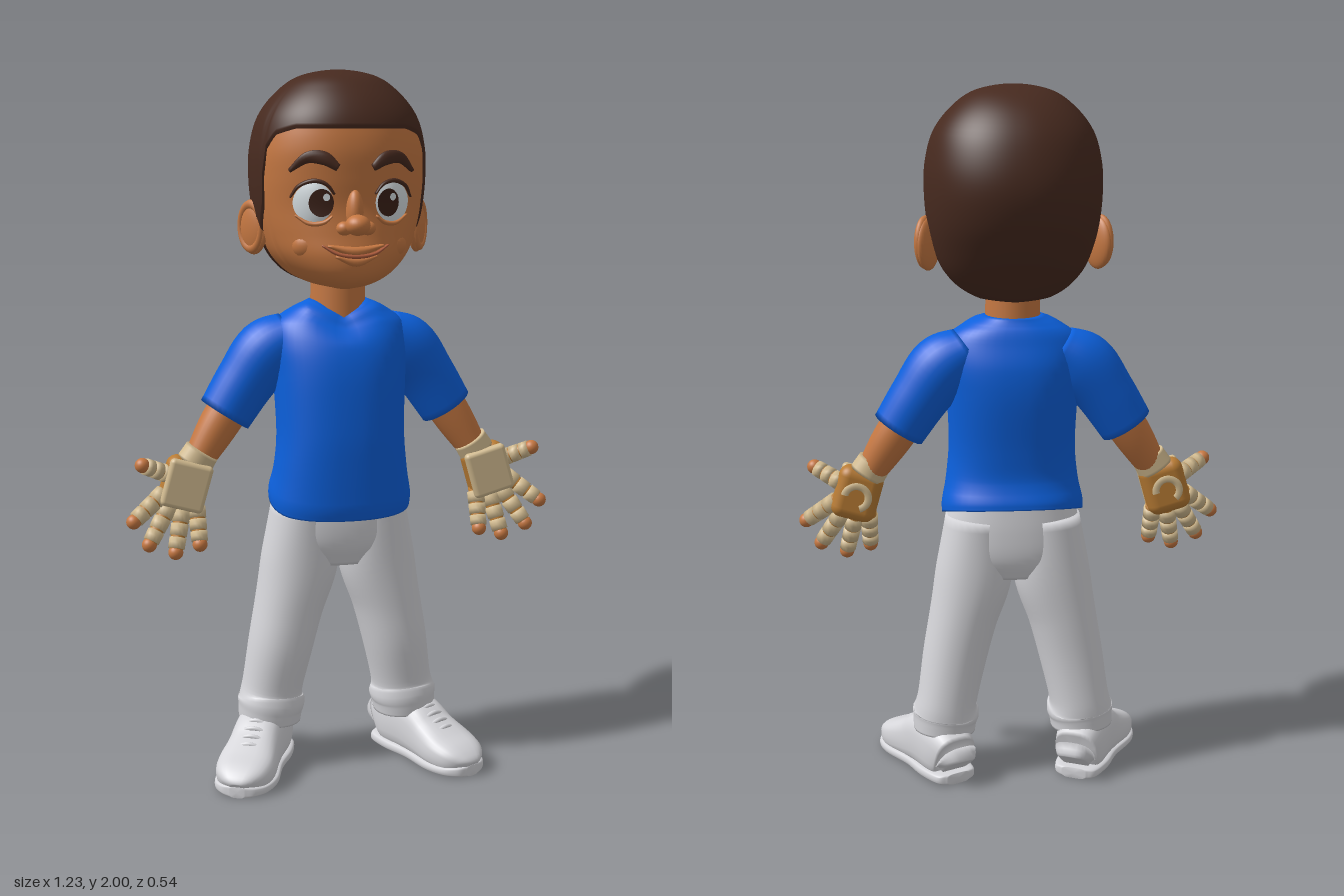
import * as THREE from 'three';
import { mergeVertices } from 'three/addons/utils/BufferGeometryUtils.js';
import { RoundedBoxGeometry } from 'three/addons/geometries/RoundedBoxGeometry.js';

const material = (name, color) => Object.assign(new THREE.MeshStandardMaterial({ color }), { name });
const clamp = THREE.MathUtils.clamp;
const pow = (a, p) => Math.sign(a) * Math.abs(a) ** p;

// Catmull-Rom through rows of numbers, one unit of u per row
function spline(rows, u, before) {
  const i = clamp(Math.floor(u), 0, rows.length - 2), t = u - i;
  const b = rows[i], c = rows[i + 1];
  const a = rows[i - 1] ?? before ?? b.map((v, k) => 2 * v - c[k]);
  const d = rows[i + 2] ?? c.map((v, k) => 2 * v - b[k]);
  return b.map((v, k) => v + 0.5 * t * (c[k] - a[k] + t * (2 * a[k] - 5 * v + 4 * c[k] - d[k]
    + t * (3 * (v - c[k]) + d[k] - a[k]))));
}

// Grid surface from point(t, angle); t runs down, angle runs to the right
function surface(name, mat, nu, nv, point) {
  const pos = [], index = [];
  for (let i = 0; i <= nu; i++) for (let j = 0; j <= nv; j++) {
    pos.push(...point(i / nu, (j / nv) * Math.PI * 2, i));
    if (i < nu && j < nv) {
      const a = i * (nv + 1) + j, d = a + nv + 1;
      index.push(a, d, d + 1, a, d + 1, a + 1);
    }
  }
  let g = new THREE.BufferGeometry();
  g.setAttribute('position', new THREE.Float32BufferAttribute(pos, 3));
  g.setIndex(index);
  g = mergeVertices(g, 1e-5);
  g.computeVertexNormals();
  return part(name, g, mat);
}

function part(name, geometry, mat, x = 0, y = 0, z = 0) {
  const m = new THREE.Mesh(geometry, mat);
  m.name = name;
  m.position.set(x, y, z);
  return m;
}

// Closed limb through rows of [x, y, z, half width, half depth]
function limb(name, mat, rows, { steps = 6, sides = 28, p = 1, tweak = null } = {}) {
  const n = (rows.length - 1) * steps;
  return surface(name, mat, n + 2, sides, (_, a, i) => {
    const k = clamp(i - 1, 0, n), u = k / steps, r = spline(rows, u);
    const q = spline(rows, Math.max(0, u - 0.01)), s = spline(rows, Math.min(rows.length - 1, u + 0.01));
    const T = new THREE.Vector3(s[0] - q[0], s[1] - q[1], s[2] - q[2]).normalize();
    const N = Math.abs(T.z) > 0.8 ? new THREE.Vector3(0, 1, 0) : new THREE.Vector3(0, 0, 1);
    N.addScaledVector(T, -N.dot(T)).normalize();
    const B = N.clone().cross(T), cap = i === k + 1 ? 1 : 0;
    const v = new THREE.Vector3(r[0], r[1], r[2])
      .addScaledVector(B, cap * r[3] * pow(Math.sin(a), p))
      .addScaledVector(N, cap * r[4] * pow(Math.cos(a), p));
    if (tweak) tweak(v);
    return v.toArray();
  });
}

// Head sections from crown to chin: y, half width, front z, back z
const HEAD = [
  [1.994, 0, -0.01, -0.01], [1.978, 0.1, 0.093, -0.105], [1.935, 0.165, 0.153, -0.178],
  [1.87, 0.215, 0.196, -0.23], [1.79, 0.237, 0.211, -0.258], [1.71, 0.24, 0.205, -0.264],
  [1.63, 0.233, 0.196, -0.244], [1.56, 0.217, 0.203, -0.207], [1.5, 0.192, 0.212, -0.168],
  [1.45, 0.147, 0.202, -0.13], [1.42, 0.092, 0.168, -0.1], [1.405, 0.03, 0.1, -0.06],
];
const ZC = -0.02, P = 0.92;
const section = (u) => spline(HEAD, u, [1.978, -0.1, -0.105, 0.093]);
function headPoint(u, a, off = 0) {
  const [y, w, zf, zb] = section(u), c = pow(Math.cos(a), P);
  const v = new THREE.Vector3(w * pow(Math.sin(a), P), y, ZC + c * (c > 0 ? zf - ZC : ZC - zb));
  const out = v.clone().sub(new THREE.Vector3(0, 1.7, ZC)).normalize();
  return v.addScaledVector(out, off).toArray();
}
// Height of the face surface at x, y
function faceZ(x, y) {
  let lo = 0.5, hi = 11;
  for (let k = 0; k < 24; k++) section((lo + hi) / 2)[0] > y ? (lo = (lo + hi) / 2) : (hi = (lo + hi) / 2);
  const [, w, zf] = section(lo), s = Math.min(1, Math.abs(x) / w) ** (1 / P);
  return ZC + (zf - ZC) * Math.sqrt(1 - s * s) ** P;
}
// Hairline as section number against angle from the front
const HAIRLINE = [[0, 3.4], [0.7, 3.4], [1, 3.6], [1.14, 4.1], [1.22, 6], [1.4, 6.8],
  [1.6, 7.6], [1.75, 8.8], [2.1, 9.9], [3.15, 10.3]];
function hairline(angle) {
  const a = Math.min(angle, Math.PI * 2 - angle);
  const i = Math.max(1, HAIRLINE.findIndex((h) => h[0] >= a));
  const [a0, u0] = HAIRLINE[i - 1], [a1, u1] = HAIRLINE[i];
  return u0 + ((u1 - u0) * (a - a0)) / (a1 - a0);
}
// Thin oval and thin strip that follow the face
const oval = (name, mat, x, y, rx, ry, off, bulge = 0) => surface(name, mat, 8, 32, (t, a) => {
  const px = x + rx * t * Math.cos(a), py = y + ry * t * Math.sin(a);
  return [px, py, faceZ(px, py) + off + bulge * (1 - t * t)];
});
const strip = (name, mat, pts, off, depth) =>
  limb(name, mat, pts.map(([x, y, r]) => [x, y, faceZ(x, y) + off, r, depth]), { sides: 12 });

export function createModel() {
  const skin = material('skin', 0xc67842), hairMat = material('hair', 0x472a1f);
  const blue = material('shirtBlue', 0x0c60dc), grey = material('paleGrey', 0xd6d6da);
  const tan = material('gloveTan', 0xd2bb90), ochre = material('gloveOchre', 0xb97c34);
  const white = material('eyeWhite', 0xe0e8ec), iris = material('irisBrown', 0x3b2118);
  const lip = material('lipBrown', 0xa9593a);
  const model = new THREE.Group();
  model.name = 'boy';
  const add = (...m) => model.add(...m);
  const ball = (name, mat, x, y, z, rx, ry, rz) => {
    const m = part(name, new THREE.SphereGeometry(1, 28, 20), mat, x, y, z);
    m.scale.set(rx, ry, rz);
    add(m);
    return m;
  };

  // Head, hair and neck
  add(surface('face', skin, 48, 128, (t, a) => headPoint(THREE.MathUtils.lerp(hairline(a), 11, t), a)));
  add(surface('hair', hairMat, 48, 128, (t, a) => headPoint(t * hairline(a), a, t > 0.99 ? 0 : 0.006)));
  add(part('neck', new THREE.CylinderGeometry(0.076, 0.08, 0.16, 32), skin, 0, 1.37, -0.008));

  // Nose and mouth
  ball('noseBridge', skin, 0, 1.62, 0.195, 0.024, 0.06, 0.03);
  ball('noseTip', skin, 0, 1.587, 0.232, 0.034, 0.028, 0.036);
  add(strip('smile', lip, [[-0.09, 1.532, 0.003], [-0.05, 1.51, 0.005], [0, 1.503, 0.006],
    [0.05, 1.51, 0.005], [0.09, 1.532, 0.003]], 0.012, 0.008));
  add(strip('upperLip', skin, [[-0.075, 1.531, 0.004], [0, 1.516, 0.013], [0.075, 1.531, 0.004]], 0.006, 0.014));
  add(strip('lowerLip', skin, [[-0.055, 1.503, 0.004], [0, 1.489, 0.013], [0.055, 1.503, 0.004]], 0.006, 0.014));

  // Torso of the shirt, with a dipped neckline and a hem raised at the back
  const torso = [[1.37, 0.082, 0.07, -0.088], [1.345, 0.135, 0.085, -0.1], [1.305, 0.185, 0.105, -0.118],
    [1.24, 0.195, 0.137, -0.138], [1.15, 0.188, 0.158, -0.14], [1, 0.182, 0.168, -0.124],
    [0.9, 0.19, 0.167, -0.12], [0.82, 0.204, 0.165, -0.138], [0.78, 0.204, 0.157, -0.142]];
  const upright = ([y, w, f, b]) => [0, y, (f + b) / 2, w, (f - b) / 2];
  add(limb('shirtBody', blue, torso.map(upright), {
    p: 0.85, sides: 48,
    tweak: (v) => {
      v.y -= 0.05 * clamp((v.y - 1.25) / 0.12, 0, 1) * clamp(v.z / 0.06, 0, 1) * clamp(1 - Math.abs(v.x) / 0.1, 0, 1);
      v.y += 0.035 * clamp((0.87 - v.y) / 0.09, 0, 1) * clamp((0.1 - v.z) / 0.24, 0, 1);
    },
  }));
  // Hips
  add(limb('trouserHips', grey, [[0.84, 0.175, 0.11, -0.112], [0.75, 0.197, 0.114, -0.118],
    [0.67, 0.195, 0.105, -0.115], [0.61, 0.12, 0.08, -0.09]].map(upright), { p: 0.9, sides: 40 }));

  for (const s of [1, -1]) {
    const side = (rows) => rows.map(([x, ...rest]) => [s * x, ...rest]);

    // Eyes, lashes and brows
    add(oval('eyeWhite', white, s * 0.109, 1.645, 0.051, 0.053, 0.002, 0.012));
    add(oval('iris', iris, s * 0.092, 1.645, 0.032, 0.037, 0.017));
    add(oval('eyeGlint', white, s * 0.092 + 0.012, 1.66, 0.009, 0.01, 0.021));
    add(strip('upperLash', hairMat, side([[0.056, 1.668, 0.003], [0.078, 1.694, 0.005],
      [0.112, 1.703, 0.006], [0.147, 1.689, 0.005], [0.166, 1.66, 0.003]]), 0.004, 0.008));
    add(strip('lowerLid', skin, side([[0.06, 1.61, 0.003], [0.085, 1.592, 0.006],
      [0.12, 1.59, 0.006], [0.153, 1.61, 0.003]]), 0.002, 0.008));
    add(strip('eyebrow', hairMat, side([[0.048, 1.737, 0.01], [0.085, 1.762, 0.018],
      [0.128, 1.763, 0.015], [0.168, 1.73, 0.006]]), 0.003, 0.009));
    ball('nostril', skin, s * 0.032, 1.578, 0.212, 0.022, 0.019, 0.022);
    ball('cheek', skin, s * 0.105, 1.53, 0.128, 0.055, 0.045, 0.045);

    // Ear with rim
    ball('ear', skin, s * 0.236, 1.568, -0.03, 0.02, 0.073, 0.052).rotation.y = -0.6 * s;
    const rim = part('earRim', new THREE.TorusGeometry(0.05, 0.011, 10, 32), skin, s * 0.243, 1.573, -0.028);
    rim.rotation.y = Math.PI / 2 - 0.6 * s;
    rim.scale.set(0.82, 1.22, 1);
    add(rim);

    // Sleeve and forearm
    add(limb('sleeve', blue, side([[0.13, 1.275, -0.015, 0.065, 0.085], [0.2, 1.225, -0.02, 0.092, 0.092],
      [0.265, 1.14, -0.022, 0.085, 0.083], [0.326, 1.046, -0.02, 0.078, 0.074]])));
    add(limb('forearm', skin, side([[0.29, 1.1, -0.02, 0.06, 0.06], [0.35, 1.01, -0.012, 0.056, 0.054],
      [0.41, 0.915, 0, 0.042, 0.04]])));

    // Glove: cuff, hand body, palm pad and a curved band on the back
    add(limb('gloveCuff', tan, side([[0.394, 0.948, 0, 0.05, 0.045], [0.42, 0.908, 0, 0.053, 0.044]])));
    const hand = part('gloveHand', new RoundedBoxGeometry(0.13, 0.155, 0.074, 5, 0.032), ochre, s * 0.447, 0.855, 0.002);
    const pad = part('palmPad', new RoundedBoxGeometry(0.124, 0.138, 0.03, 4, 0.013), tan, s * 0.445, 0.857, 0.04);
    const band = part('backBand', new THREE.TorusGeometry(0.034, 0.011, 8, 24, 4.2), tan, s * 0.45, 0.85, -0.034);
    band.scale.z = 0.5;
    for (const m of [hand, pad, band]) m.rotation.z = 0.28 * s;
    add(hand, pad, band);

    // Fingers: base x, y to tip x, y; the first is the thumb
    const fingers = [[0.49, 0.885, 0.572, 0.926], [0.505, 0.835, 0.6, 0.762], [0.49, 0.8, 0.557, 0.692],
      [0.455, 0.785, 0.482, 0.665], [0.415, 0.79, 0.412, 0.685]];
    for (const [x0, y0, x1, y1] of fingers) {
      const at = (t, r) => [s * (x0 + (x1 - x0) * t), y0 + (y1 - y0) * t, 0.008 + 0.046 * t, r, r];
      add(limb('fingerCore', ochre, [at(-0.1, 0.022), at(0.95, 0.019)], { sides: 14 }));
      for (const [a, b] of [[0.02, 0.3], [0.34, 0.6], [0.64, 0.88]])
        add(limb('fingerGuard', tan, [at(a, 0.026 - 0.003 * a), at(b, 0.026 - 0.003 * b)], { sides: 14, steps: 2 }));
      ball('fingertip', skin, ...at(0.96, 0).slice(0, 3), 0.021, 0.021, 0.021);
    }

    // Trouser leg with a soft fold at the cuff
    add(limb('trouserLeg', grey, side([[0.1, 0.78, -0.003, 0.095, 0.11], [0.113, 0.62, -0.008, 0.112, 0.108],
      [0.146, 0.48, -0.009, 0.1, 0.105], [0.172, 0.36, -0.01, 0.094, 0.103], [0.196, 0.23, -0.02, 0.088, 0.096],
      [0.2, 0.19, -0.017, 0.098, 0.101], [0.203, 0.165, -0.017, 0.094, 0.099], [0.205, 0.135, -0.018, 0.091, 0.096]]), { p: 0.93 }));

    // Shoe: upper from sections along its length, sole and laces
    const shoe = new THREE.Group();
    shoe.name = 'shoe';
    shoe.position.set(s * 0.256, 0, 0.055);
    shoe.rotation.y = 0.46 * s;
    const along = ([z, w, h]) => [0, h / 2, z, w, h / 2];
    shoe.add(limb('shoeUpper', grey, [[-0.188, 0.04, 0.1], [-0.17, 0.062, 0.145], [-0.12, 0.073, 0.17],
      [-0.04, 0.074, 0.172], [0.03, 0.077, 0.135], [0.1, 0.085, 0.104], [0.15, 0.077, 0.085],
      [0.18, 0.055, 0.066], [0.195, 0.02, 0.045]].map(along), { p: 0.72 }));
    shoe.add(limb('shoeSole', grey, [[-0.195, 0.035, 0.032], [-0.175, 0.064, 0.032], [-0.1, 0.078, 0.032],
      [-0.01, 0.076, 0.03], [0.09, 0.09, 0.03], [0.155, 0.08, 0.03], [0.19, 0.052, 0.032], [0.203, 0.02, 0.032]]
      .map(along), { p: 0.5 }));
    for (let k = 0; k < 4; k++) {
      const z = 0.005 + 0.025 * k, y = 0.155 - 0.014 * k;
      shoe.add(limb('lace', grey, [[-0.045, y - 0.016, z, 0.006, 0.006], [0, y, z + 0.006, 0.007, 0.007],
        [0.045, y - 0.016, z, 0.006, 0.006]], { sides: 8 }));
    }
    add(shoe);
  }
  return model;
}
